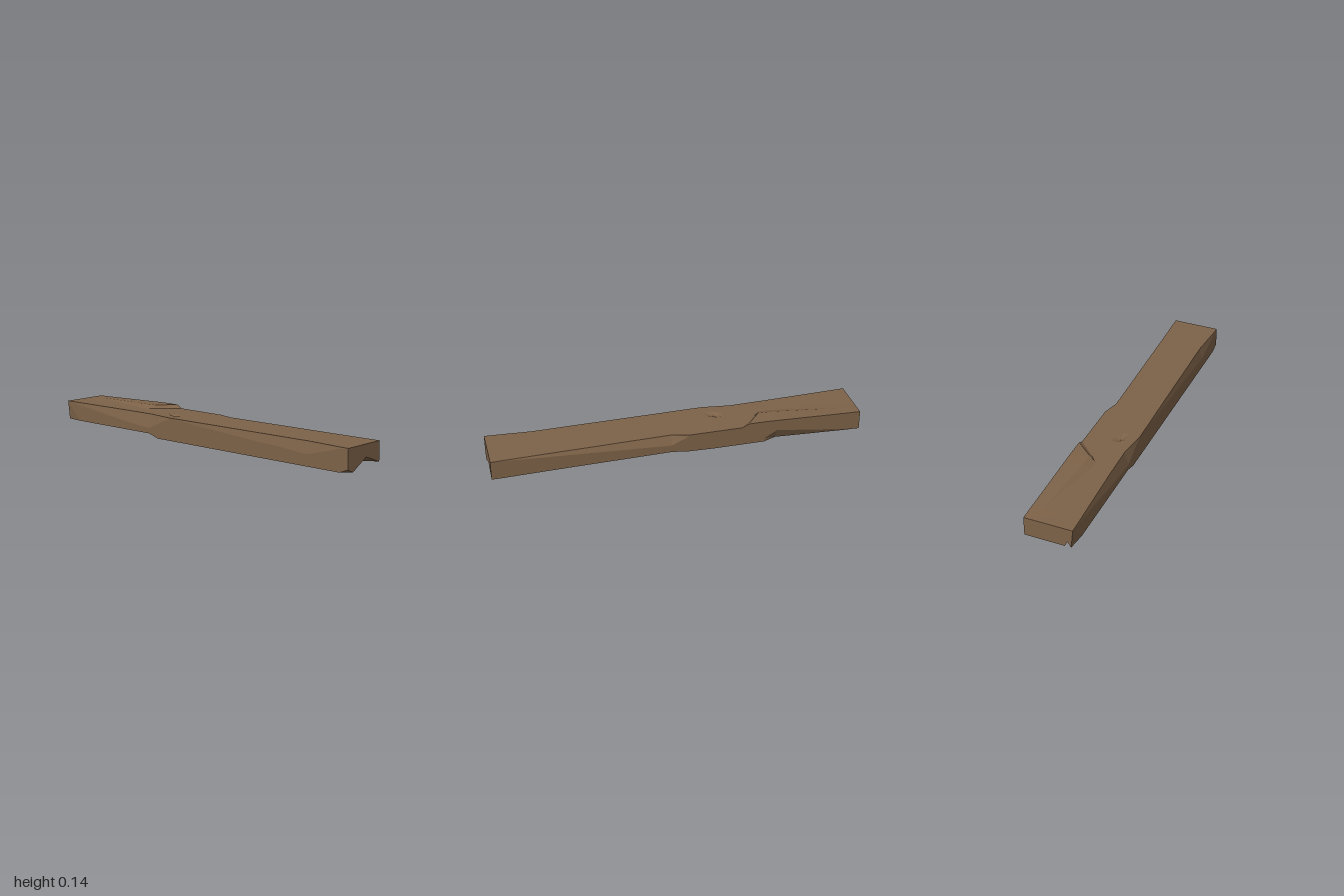
import * as THREE from 'three';

const W = 0.129; // half width

// One cross-section, clockwise seen from the front. Options describe chips and bumps.
function section(z, o = {}) {
  const {
    lx = -W, ly = 0.11,                   // top left corner inset, chip depth
    rx = W, ry = 0.11, top = 0.125,       // top right corner, chip depth, bump height
    dent = 0.125, dx = 0.035,             // small dent in the top, bump shoulder x
    bx = W, by = 0.02, ey = 0.02,         // bottom right corner, underside middle
    f = [-0.045, 0.02], g = [-0.07, 0], h = [-W, 0], // splintered ridge below
    skew = 0,                             // slants the bump's step
  } = o;
  return [
    [lx, 0.125, z], [-0.07, 0.125, z], [-0.04, dent, z],
    [-0.008, 0.125, z - skew * 1.4], [dx, top, z - skew], [rx, top, z],
    [W, ry, z], [bx, by, z],
    [0.02, ey, z], [...f, z], [...g, z], [...h, z], [-W, ly, z],
  ];
}

const noRidge = { g: [-0.07, 0.02], h: [-W, 0.02] };

function plankGeometry() {
  const rings = [
    section(1, { ey: 0.06, f: [-0.055, 0.02], g: [-0.087, 0.001], h: [-W, 0.02], ly: 0.124, ry: 0.124 }),
    section(0.95, { ey: 0.035, lx: -0.127, ly: 0.115, rx: 0.128, ry: 0.122 }),
    section(0.75, { lx: -0.114, ly: 0.06, rx: 0.122, ry: 0.112, by: 0.024 }),
    section(0.58, { lx: -0.117, ly: 0.075, rx: 0.118, ry: 0.103, by: 0.027 }),
    section(0.45, { lx: -0.119, ly: 0.08, rx: 0.115, ry: 0.096, by: 0.029, ey: 0.034 }),
    section(0.3, { lx: -0.121, ly: 0.09, rx: 0.111, ry: 0.088, by: 0.031 }),
    section(0.05, { lx: -0.125, ly: 0.105, rx: 0.105, ry: 0.075, by: 0.035 }),
    section(-0.04, { lx: -0.127, ly: 0.112, ry: 0.115, by: 0.024 }),
    section(-0.18, { ly: 0.12 }),
    section(-0.23, { lx: -0.123, ly: 0.1, dent: 0.112 }),
    section(-0.27, { lx: -0.118, ly: 0.08 }),
    section(-0.335, { ...noRidge, lx: -0.109, ly: 0.05, skew: 0.1, dx: 0.025 }),
    section(-0.37, { ...noRidge, lx: -0.11, ly: 0.052, skew: 0.08, top: 0.143 }),
    section(-0.46, { ...noRidge, lx: -0.112, ly: 0.06, top: 0.143, ry: 0.04 }),
    section(-0.53, { ...noRidge, lx: -0.113, ly: 0.066, top: 0.141, ry: 0.08, bx: 0.1 }),
    section(-0.9, { ...noRidge, lx: -0.126, ly: 0.11, top: 0.128, dx: 0.07, ry: 0.03, bx: 0.125 }),
    section(-1, { f: [-0.085, 0.02], g: [-0.1, 0.05], h: [-0.118, 0.02], dx: 0.08, ly: 0.12, ry: 0.03 }),
  ];
  const n = rings[0].length;
  const index = [];
  for (let i = 0; i < rings.length - 1; i++) {
    for (let j = 0; j < n; j++) {
      const a = i * n + j, b = i * n + (j + 1) % n;
      index.push(a, b, b + n, a, b + n, a + n);
    }
  }
  // Sawn ends, turned outwards
  [[0, 1], [rings.length - 1, -1]].forEach(([r, facing]) => {
    const pts = rings[r].map(([x, y]) => new THREE.Vector2(x, y));
    THREE.ShapeUtils.triangulateShape(pts, []).forEach(([a, b, c]) => {
      const area = THREE.ShapeUtils.area([pts[a], pts[b], pts[c]]);
      const tri = area * facing > 0 ? [a, b, c] : [a, c, b];
      index.push(...tri.map((k) => r * n + k));
    });
  });
  const geo = new THREE.BufferGeometry();
  geo.setAttribute('position', new THREE.Float32BufferAttribute(rings.flat(2), 3));
  geo.setIndex(index);
  const flat = geo.toNonIndexed();
  flat.computeVertexNormals();
  return flat;
}

export function createModel() {
  const group = new THREE.Group();
  group.name = 'woodenPlank';
  const wood = new THREE.MeshStandardMaterial({ color: 0x7d6248, flatShading: true });
  wood.name = 'brownWood';
  const plank = new THREE.Mesh(plankGeometry(), wood);
  plank.name = 'plank';
  group.add(plank);
  return group;
}
